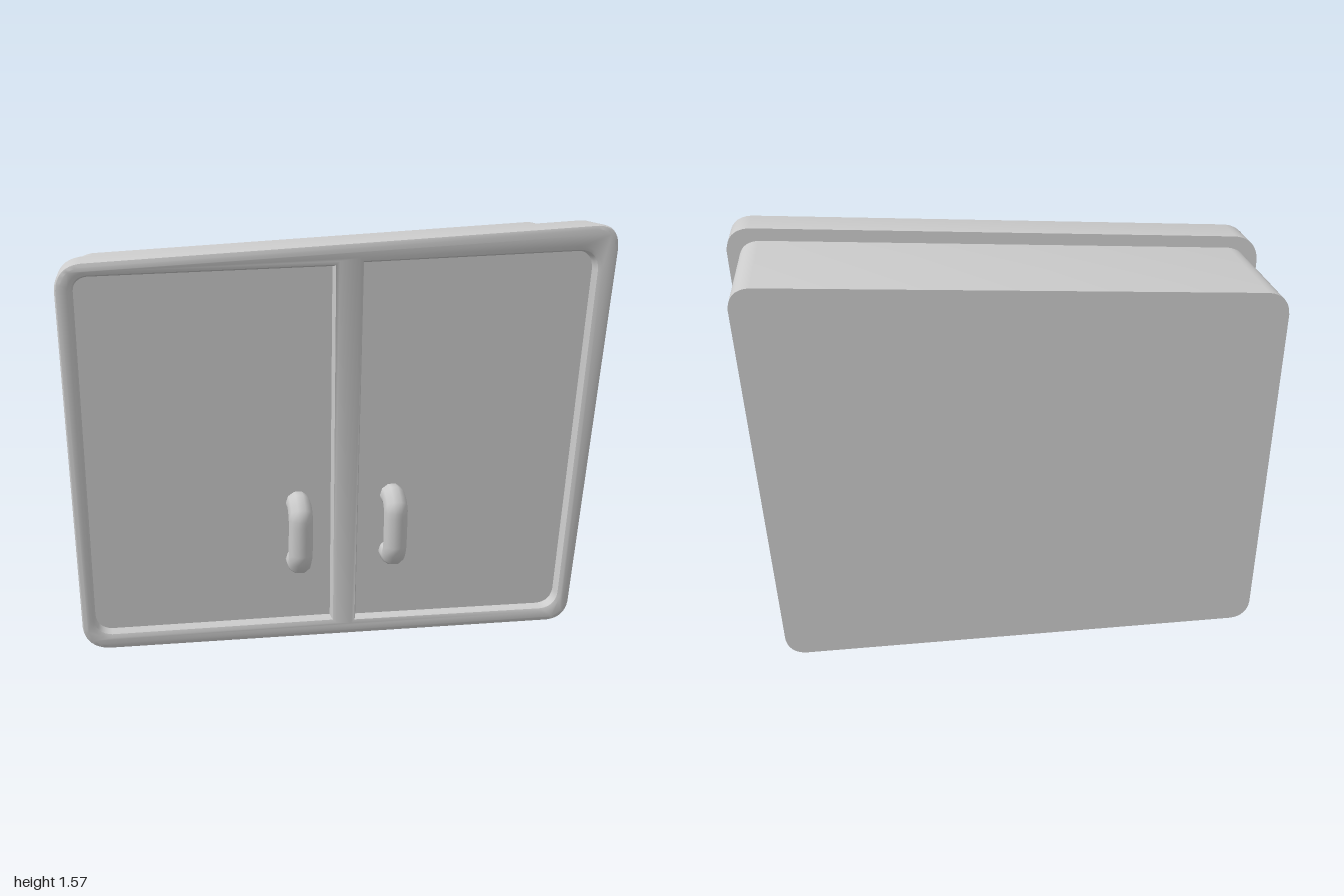
import * as THREE from 'three';
import { toCreasedNormals } from 'three/addons/utils/BufferGeometryUtils.js';

const material = new THREE.MeshStandardMaterial({ color: 0xcccccc });

// Sloping planes of the door frame, as depth by height
const frontZ = (y) => 0.222 + 0.077 * y;
const backZ = (y) => 0.11 + 0.035 * y;
const RECESS = 0.05;
const BEVEL = 0.018;

// Closed polygon with rounded corners; each corner is [x, y, radius]
function roundedPolygon(corners, Type = THREE.Shape) {
  const path = new Type();
  corners.forEach(([x, y, r], i) => {
    const p = new THREE.Vector2(x, y);
    const toward = (j) => {
      const [qx, qy] = corners[(j + corners.length) % corners.length];
      return new THREE.Vector2(qx, qy).sub(p).setLength(r).add(p);
    };
    const a = toward(i - 1), b = toward(i + 1);
    if (i === 0) path.moveTo(a.x, a.y);
    else path.lineTo(a.x, a.y);
    if (r > 0) path.quadraticCurveTo(x + (a.x + b.x - 2 * x) * 0.08, y + (a.y + b.y - 2 * y) * 0.08, b.x, b.y);
  });
  path.closePath();
  return path;
}

// Replace each vertex depth by rule(y, z)
function warpDepth(geometry, rule) {
  const p = geometry.attributes.position;
  for (let i = 0; i < p.count; i++) p.setZ(i, rule(p.getY(i), p.getZ(i)));
  return toCreasedNormals(geometry, 0.6);
}

function addMesh(group, name, geometry) {
  const mesh = new THREE.Mesh(geometry, material);
  mesh.name = name;
  group.add(mesh);
  return mesh;
}

// Bent pull handle with its feet sunk in the door
function handleGeometry(x) {
  const points = [[0.555, 0.2], [0.555, 0.262], [0.515, 0.293], [0.365, 0.281], [0.328, 0.247], [0.328, 0.18]]
    .map(([y, z]) => new THREE.Vector3(x, y, z));
  const path = new THREE.CurvePath();
  for (let i = 0; i < points.length - 1; i++) path.add(new THREE.LineCurve3(points[i], points[i + 1]));
  const curve = new THREE.CatmullRomCurve3(points, false, 'catmullrom', 0.15);
  return new THREE.TubeGeometry(curve, 20, 0.045, 10, false);
}

export function createModel() {
  const group = new THREE.Group();
  group.name = 'wallCabinet';

  // Cabinet box, its front end buried in the sloping frame
  const bodyShape = roundedPolygon([
    [-0.93, 0.065, 0.07], [0.872, 0.047, 0.07], [0.958, 1.525, 0.08], [-0.962, 1.422, 0.08],
  ]);
  const body = new THREE.ExtrudeGeometry(bodyShape, { depth: 1, bevelEnabled: false, curveSegments: 8 });
  addMesh(group, 'cabinetBody', warpDepth(body, (y, z) => (z > 0.5 ? backZ(y) + 0.02 : -0.34)));

  // Front frame with two door openings
  const frameShape = roundedPolygon([
    [-0.968, 0.017, 0.09], [0.913, 0, 0.08], [1, 1.573, 0.09], [-1, 1.464, 0.09],
  ]);
  const doors = [
    [[-0.922, 0.082, 0.06], [-0.036, 0.078, 0], [-0.044, 1.437, 0], [-0.938, 1.417, 0.05]],
    [[0.058, 0.072, 0], [0.86, 0.062, 0.06], [0.918, 1.475, 0.07], [0.062, 1.448, 0]],
  ];
  frameShape.holes = doors.map((d) => roundedPolygon(d, THREE.Path));
  const frame = new THREE.ExtrudeGeometry(frameShape, {
    depth: 1, bevelThickness: BEVEL, bevelSize: BEVEL, bevelOffset: -BEVEL, bevelSegments: 2, curveSegments: 8,
  });
  addMesh(group, 'doorFrame', warpDepth(frame, (y, z) => {
    if (z <= 0) return backZ(y);
    const shoulder = frontZ(y) - BEVEL;
    return z <= 1 ? THREE.MathUtils.lerp(backZ(y), shoulder, z) : shoulder + z - 1;
  }));

  // Recessed door panels
  doors.forEach((d, i) => {
    const panel = new THREE.ShapeGeometry(roundedPolygon(d), 8);
    addMesh(group, i ? 'leftDoor' : 'rightDoor', warpDepth(panel, (y) => frontZ(y) - RECESS));
  });

  // Handles either side of the central post
  addMesh(group, 'rightHandle', handleGeometry(-0.163)).position.y = -0.006;
  addMesh(group, 'leftHandle', handleGeometry(0.194)).position.y = 0.006;

  return group;
}
